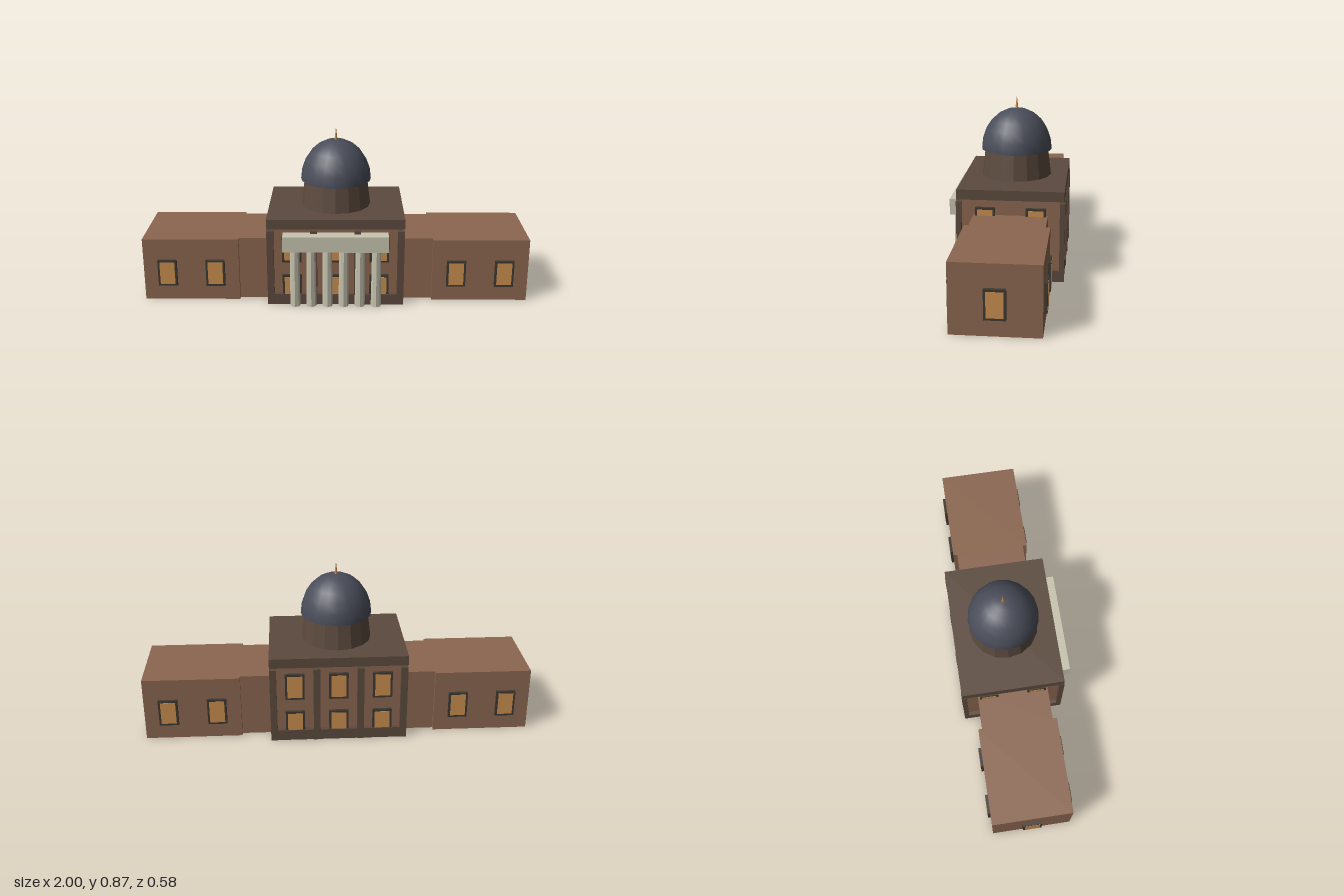
import * as THREE from 'three';

const mat = (name, color, extra = {}) => {
  const m = new THREE.MeshStandardMaterial({ color, ...extra });
  m.name = name;
  return m;
};

export function createModel() {
  const brick = mat('brick', 0x8b6650);
  const trim = mat('brown trim', 0x5c4a3e);
  const frameMat = mat('window frame', 0x3d3832);
  const glass = mat('amber glass', 0xc98f4f);
  const stone = mat('pale stone', 0xc8c4b0);
  const slate = mat('slate dome', 0x4a4e5a);
  const trimFlat = trim.clone();
  trimFlat.flatShading = true;
  const stoneFlat = stone.clone();
  stoneFlat.flatShading = true;

  const model = new THREE.Group();
  model.name = 'domedHall';
  // The building sits slightly behind the origin because of the portico
  const building = new THREE.Group();
  building.name = 'building';
  building.position.z = -0.022;
  model.add(building);

  const add = (name, geo, material, x, y, z, parent = building) => {
    const m = new THREE.Mesh(geo, material);
    m.name = name;
    m.position.set(x, y, z);
    parent.add(m);
    return m;
  };
  // Box given by its centre in x and z and the height of its base
  const block = (name, material, w, h, d, x, y, z) =>
    add(name, new THREE.BoxGeometry(w, h, d), material, x, y + h / 2, z);

  // Window: a dark frame with a thin glass plate, turned to face outwards
  const frameGeo = new THREE.BoxGeometry(0.097, 0.14, 0.03);
  const glassGeo = new THREE.BoxGeometry(0.076, 0.119, 0.004);
  const addWindow = (x, y, z, turn) => {
    const g = new THREE.Group();
    g.name = 'window';
    g.position.set(x, y, z);
    g.rotation.y = turn;
    add('windowFrame', frameGeo, frameMat, 0, 0, 0, g);
    add('windowGlass', glassGeo, glass, 0, 0, 0.0145, g);
    building.add(g);
  };

  // Central block with plinth and cornice
  block('mainBody', brick, 0.65, 0.41, 0.485, 0, 0, 0);
  block('plinth', trim, 0.69, 0.056, 0.526, 0, 0, 0);
  block('cornice', trim, 0.69, 0.05, 0.526, 0, 0.41, 0);

  for (const s of [1, -1]) {
    const out = s > 0 ? 0 : Math.PI;
    // Pilasters and windows on the front and back
    for (const x of [-0.328, -0.11, 0.11, 0.328])
      block('pilaster', trim, 0.034, 0.4, 0.025, x, 0, s * 0.2535);
    for (const x of [-0.22, 0, 0.22])
      for (const y of [0.09, 0.3]) addWindow(x, y, s * 0.243, out);

    // Side windows above the wings
    for (const z of [-0.124, 0.124])
      for (const y of [0.09, 0.3]) addWindow(s * 0.325, y, z, s * Math.PI / 2);

    // Wings: a narrow link and a wider pavilion
    block('wingLink', brick, 0.2, 0.33, 0.365, s * 0.4, 0, 0);
    block('wingPavilion', brick, 0.488, 0.33, 0.408, s * 0.738, 0, 0);
    addWindow(s * 0.984, 0.15, 0, s * Math.PI / 2);
    for (const x of [0.615, 0.86])
      for (const f of [1, -1]) addWindow(s * x, 0.15, f * 0.203, f > 0 ? 0 : Math.PI);
  }

  // Portico
  const columnGeo = new THREE.CylinderGeometry(0.023, 0.026, 0.305, 8);
  for (let i = 0; i < 6; i++)
    add('column', columnGeo, stoneFlat, -0.205 + i * 0.082, 0.1525, 0.271);
  block('entablature', stone, 0.527, 0.081, 0.076, 0, 0.305, 0.272);

  // Drum, dome and spire
  add('drum', new THREE.CylinderGeometry(0.161, 0.178, 0.135, 16), trimFlat, 0, 0.5275, 0);
  const dome = add('dome', new THREE.SphereGeometry(0.18, 20, 6, 0, Math.PI * 2, 0, Math.PI / 2),
    slate, 0, 0.594, 0);
  dome.scale.y = 0.209 / 0.18;
  add('domeUnderside', new THREE.CircleGeometry(0.18, 20), slate, 0, 0.594, 0).rotation.x = Math.PI / 2;
  add('spire', new THREE.ConeGeometry(0.008, 0.067, 8), glass, 0, 0.8325, 0);

  return model;
}
